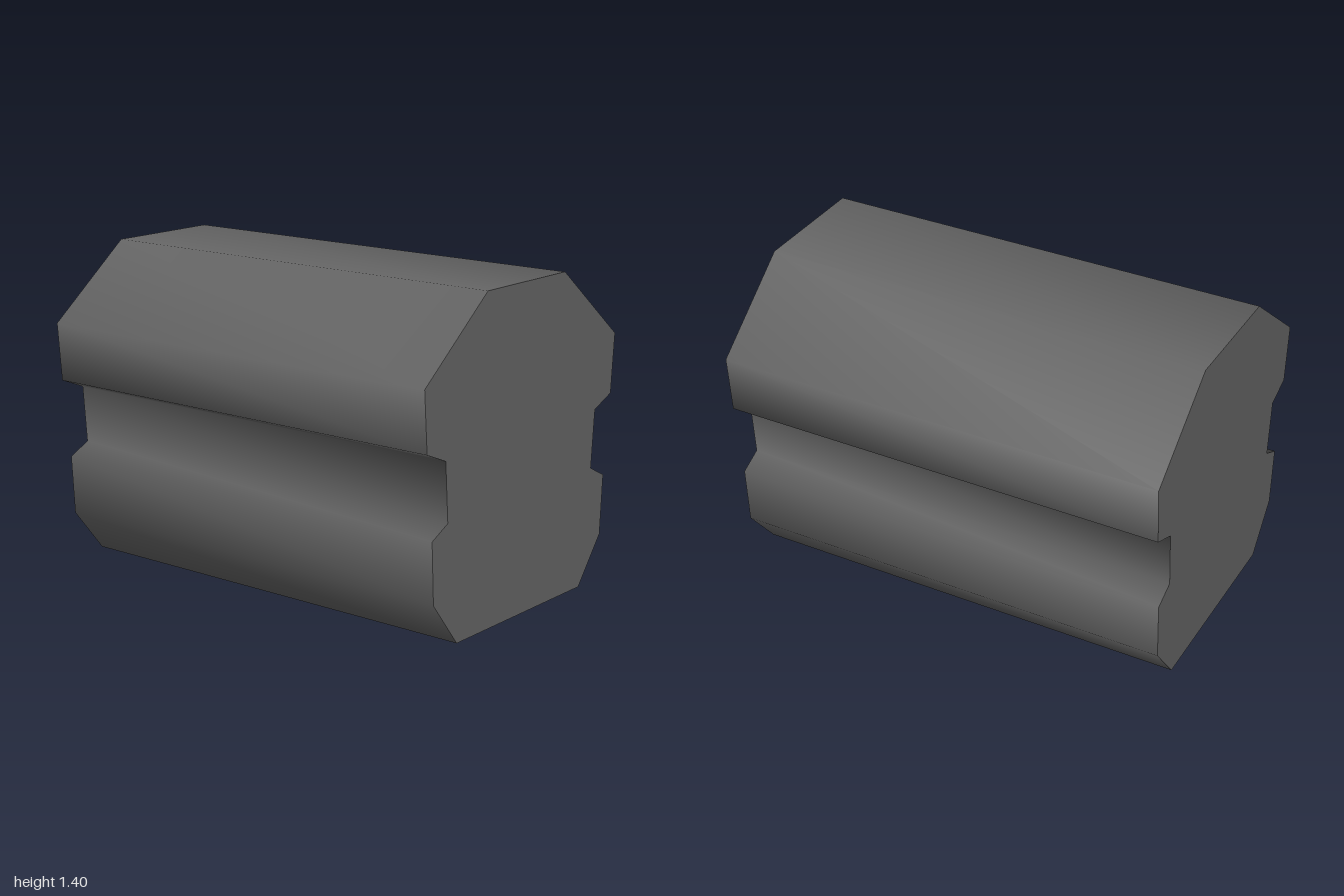
import * as THREE from 'three';

const HALF_LENGTH = 1;

// Right half of the cross-section, from the base up to the crown
const RIGHT = [
  [0.447, 0], [0.607, 0.2], [0.621, 0.465], [0.519, 0.515], [0.538, 0.77],
  [0.66, 0.82], [0.68, 1.08], [0.274, 1.4],
];
const PROFILE = [...RIGHT, ...RIGHT.map(([x, y]) => [-x, y]).reverse()];

// Smooth skin running lengthwise along the profile, open at the base
function skinGeometry() {
  const positions = [];
  const indices = [];
  PROFILE.forEach(([x, y], i) => {
    positions.push(x, y, -HALF_LENGTH, x, y, HALF_LENGTH);
    if (i === 0) return;
    const a = 2 * (i - 1), b = 2 * i;
    indices.push(a, b, b + 1, a, b + 1, a + 1);
  });
  const geometry = new THREE.BufferGeometry();
  geometry.setAttribute('position', new THREE.Float32BufferAttribute(positions, 3));
  geometry.setIndex(indices);
  geometry.computeVertexNormals();
  return geometry;
}

export function createModel() {
  const group = new THREE.Group();
  group.name = 'groovedBlock';
  const darkGrey = new THREE.MeshStandardMaterial({ color: 0x646464 });
  darkGrey.name = 'dark grey';

  const add = (name, geometry) => {
    const mesh = new THREE.Mesh(geometry, darkGrey);
    mesh.name = name;
    group.add(mesh);
    return mesh;
  };

  add('groovedSkin', skinGeometry());

  // Flat end caps
  const shape = new THREE.Shape(PROFILE.map(([x, y]) => new THREE.Vector2(x, y)));
  add('frontCap', new THREE.ShapeGeometry(shape)).position.z = HALF_LENGTH;
  const backCap = add('backCap', new THREE.ShapeGeometry(shape));
  backCap.position.z = -HALF_LENGTH;
  backCap.rotation.y = Math.PI;

  // Flat underside
  add('base', new THREE.PlaneGeometry(2 * RIGHT[0][0], 2 * HALF_LENGTH)).rotation.x = Math.PI / 2;

  return group;
}
